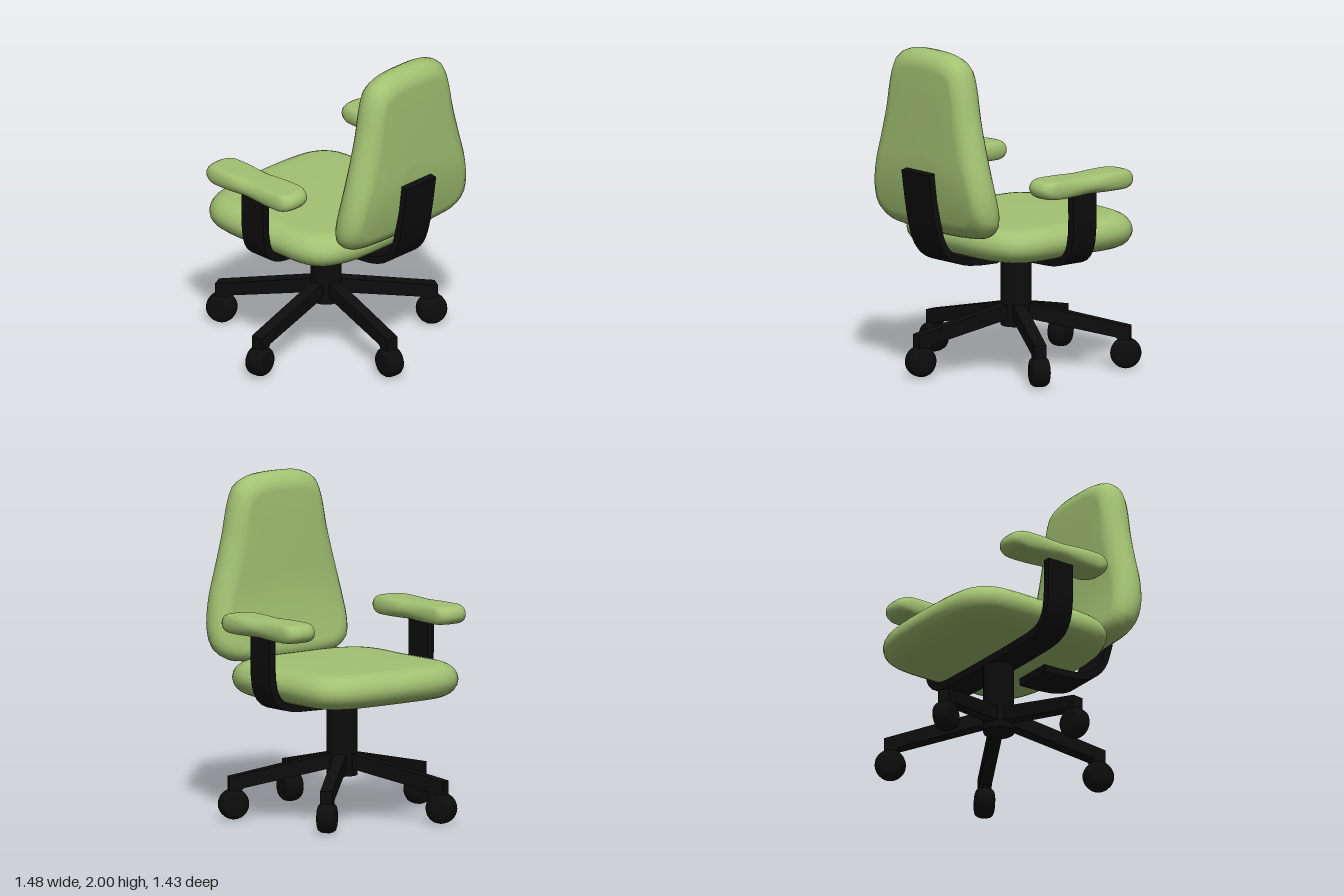
import * as THREE from 'three';
import { toCreasedNormals } from 'three/addons/utils/BufferGeometryUtils.js';

const fabric = new THREE.MeshStandardMaterial({ color: 0xa3c272 });
fabric.name = 'green fabric';
const plastic = new THREE.MeshStandardMaterial({ color: 0x0d0d0d });
plastic.name = 'black plastic';

function add(parent, name, geometry, material) {
  const mesh = new THREE.Mesh(geometry, material);
  mesh.name = name;
  parent.add(mesh);
  return mesh;
}

// Curve through [u, v] points
const spline = (pts, closed) => new THREE.CatmullRomCurve3(
  pts.map(([u, v]) => new THREE.Vector3(u, v, 0)), closed, 'centripetal');

// Full outline from one half, mirrored over u = 0
const mirrorU = (half) => [
  ...half, ...half.slice(1, -1).reverse().map(([u, v]) => [-u, v])];

// Padded cushion: smooth outline in XY, rounded rim, thickness along z
function cushion(points, center, halfThick, inset) {
  const n = 72, rim = 10;
  const outline = spline(points, true).getSpacedPoints(n).slice(0, n);
  if (THREE.ShapeUtils.isClockWise(outline)) outline.reverse();
  const [cx, cy] = center;
  const rings = [];
  const dome = 0.97;
  for (const k of [0.02, 0.35, 0.7]) rings.push([k, 0, 1 - (1 - dome) * k * k]);
  for (let i = 0; i <= rim; i++) {
    const a = (i / rim) * Math.PI;
    rings.push([1, inset * (1 - Math.sin(a)), Math.cos(a) * dome]);
  }
  for (const k of [0.7, 0.35, 0.02]) rings.push([k, 0, -1 + (1 - dome) * k * k]);

  const pos = [], index = [];
  for (const [k, ins, h] of rings) {
    for (const p of outline) {
      const dx = p.x - cx, dy = p.y - cy, len = Math.hypot(dx, dy);
      // inner rings scale the already inset face
      const s = k < 1 ? k * (1 - inset / len) : 1 - ins / len;
      pos.push(cx + dx * s, cy + dy * s, h * halfThick);
    }
  }
  for (let r = 0; r < rings.length - 1; r++) {
    for (let i = 0; i < n; i++) {
      const j = (i + 1) % n, a = r * n + i, b = r * n + j;
      index.push(a, a + n, b, b, a + n, b + n);
    }
  }
  // close both centres
  const last = (rings.length - 1) * n;
  for (let i = 1; i < n - 1; i++) {
    index.push(0, i, i + 1, last, last + i + 1, last + i);
  }
  const g = new THREE.BufferGeometry();
  g.setAttribute('position', new THREE.Float32BufferAttribute(pos, 3));
  g.setIndex(index);
  g.computeVertexNormals();
  return g;
}

// Extrude a shape, centred on its width
function slab(shape, width) {
  const g = new THREE.ExtrudeGeometry(shape, { depth: width, bevelEnabled: false });
  g.translate(0, 0, -width / 2);
  return toCreasedNormals(g, 0.6);
}

// Bent flat bar that follows a path in XY
function bentBar(points, thick, width) {
  const curve = spline(points, false), a = [], b = [], n = 48;
  for (let i = 0; i <= n; i++) {
    const p = curve.getPointAt(i / n), t = curve.getTangentAt(i / n);
    a.push(new THREE.Vector2(p.x - t.y * thick / 2, p.y + t.x * thick / 2));
    b.push(new THREE.Vector2(p.x + t.y * thick / 2, p.y - t.x * thick / 2));
  }
  return slab(new THREE.Shape([...a, ...b.reverse()]), width);
}

export function createModel() {
  const root = new THREE.Group();
  root.name = 'officeChair';
  const chair = new THREE.Group();
  chair.name = 'chair';
  chair.position.z = -0.025;
  root.add(chair);
  const hubX = -0.055;

  // Seat: outline as [side, front-to-back]
  const seat = cushion(mirrorU([
    [0, -0.643], [0.3, -0.625], [0.43, -0.59], [0.52, -0.51], [0.553, -0.38], [0.557, 0],
    [0.545, 0.26], [0.49, 0.38], [0.4, 0.435], [0.25, 0.475], [0, 0.483],
  ]), [0, -0.08], 0.107, 0.13);
  seat.rotateZ(-Math.PI / 2).rotateX(-Math.PI / 2);
  seat.translate(0, 0.832, 0);
  add(chair, 'seat', seat, fabric);

  // Backrest: tapered, with the lower part bent forward
  const back = cushion(mirrorU([
    [0, 2], [0.19, 1.985], [0.28, 1.94], [0.325, 1.84], [0.37, 1.65], [0.425, 1.45],
    [0.478, 1.25], [0.503, 1.07], [0.485, 0.97], [0.41, 0.91], [0.25, 0.885], [0, 0.877],
  ]), [0, 1.4], 0.105, 0.11);
  back.rotateY(Math.PI / 2);
  const p = back.attributes.position;
  for (let i = 0; i < p.count; i++) {
    const d = Math.max(0, (1.35 - p.getY(i)) / 0.45);
    p.setX(i, p.getX(i) + 0.59 - 0.07 * d * d);
  }
  back.computeVertexNormals();
  add(chair, 'backrest', back, fabric);

  // Bar that carries the backrest
  add(chair, 'backrestBar', bentBar([
    [0.19, 0.695], [0.34, 0.7], [0.46, 0.717], [0.55, 0.755], [0.615, 0.825],
    [0.655, 0.93], [0.685, 1.08], [0.714, 1.275],
  ], 0.045, 0.25), plastic);

  // U-shaped bar under the seat that carries both armrests
  const half = [[0, 0.695], [0.28, 0.697], [0.46, 0.707], [0.535, 0.735], [0.58, 0.795],
    [0.6, 0.9], [0.602, 1.16]];
  const path = [...half.slice(1).reverse().map(([u, v]) => [-u, v]), ...half];
  const armBar = add(chair, 'armrestBar', bentBar(path, 0.048, 0.18), plastic);
  armBar.rotation.y = Math.PI / 2;
  armBar.position.x = hubX;

  // Armrests
  for (const side of [-1, 1]) {
    const pad = cushion([
      [-0.355, 0], [-0.348, 0.06], [-0.32, 0.098], [-0.25, 0.109], [0, 0.112], [0.25, 0.109],
      [0.32, 0.098], [0.348, 0.06], [0.355, 0], [0.348, -0.06], [0.32, -0.098], [0.25, -0.109],
      [0, -0.112], [-0.25, -0.109], [-0.32, -0.098], [-0.348, -0.06],
    ], [0, 0], 0.056, 0.055);
    pad.rotateX(-Math.PI / 2);
    const mesh = add(chair, side > 0 ? 'leftArmrest' : 'rightArmrest', pad, fabric);
    mesh.position.set(-0.07, 1.19, side * 0.575);
  }

  // Column
  const column = add(chair, 'column', new THREE.CylinderGeometry(0.092, 0.092, 0.45, 32), plastic);
  column.position.set(hubX, 0.475, 0);

  // Five legs with casters
  const legShape = new THREE.Shape([
    [0, 0.4], [0, 0.31], [0.05, 0.3], [0.6, 0.19], [0.615, 0.17], [0.685, 0.17],
    [0.685, 0.255], [0.08, 0.385],
  ].map(([x, y]) => new THREE.Vector2(x, y)));
  const legGeo = slab(legShape, 0.075);
  const casterGeo = new THREE.LatheGeometry([
    [0, -0.058], [0.055, -0.058], [0.075, -0.052], [0.087, -0.037], [0.092, -0.015],
    [0.092, 0.015], [0.087, 0.037], [0.075, 0.052], [0.055, 0.058], [0, 0.058],
  ].map(([x, y]) => new THREE.Vector2(x, y)), 28);
  casterGeo.rotateX(Math.PI / 2);
  for (let i = 0; i < 5; i++) {
    const leg = new THREE.Group();
    leg.name = 'baseLeg' + (i + 1);
    leg.position.x = hubX;
    leg.rotation.y = -THREE.MathUtils.degToRad(10.6 + 72 * i);
    add(leg, 'leg', legGeo, plastic);
    add(leg, 'caster', casterGeo, plastic).position.set(0.655, 0.092, 0);
    chair.add(leg);
  }
  return root;
}
